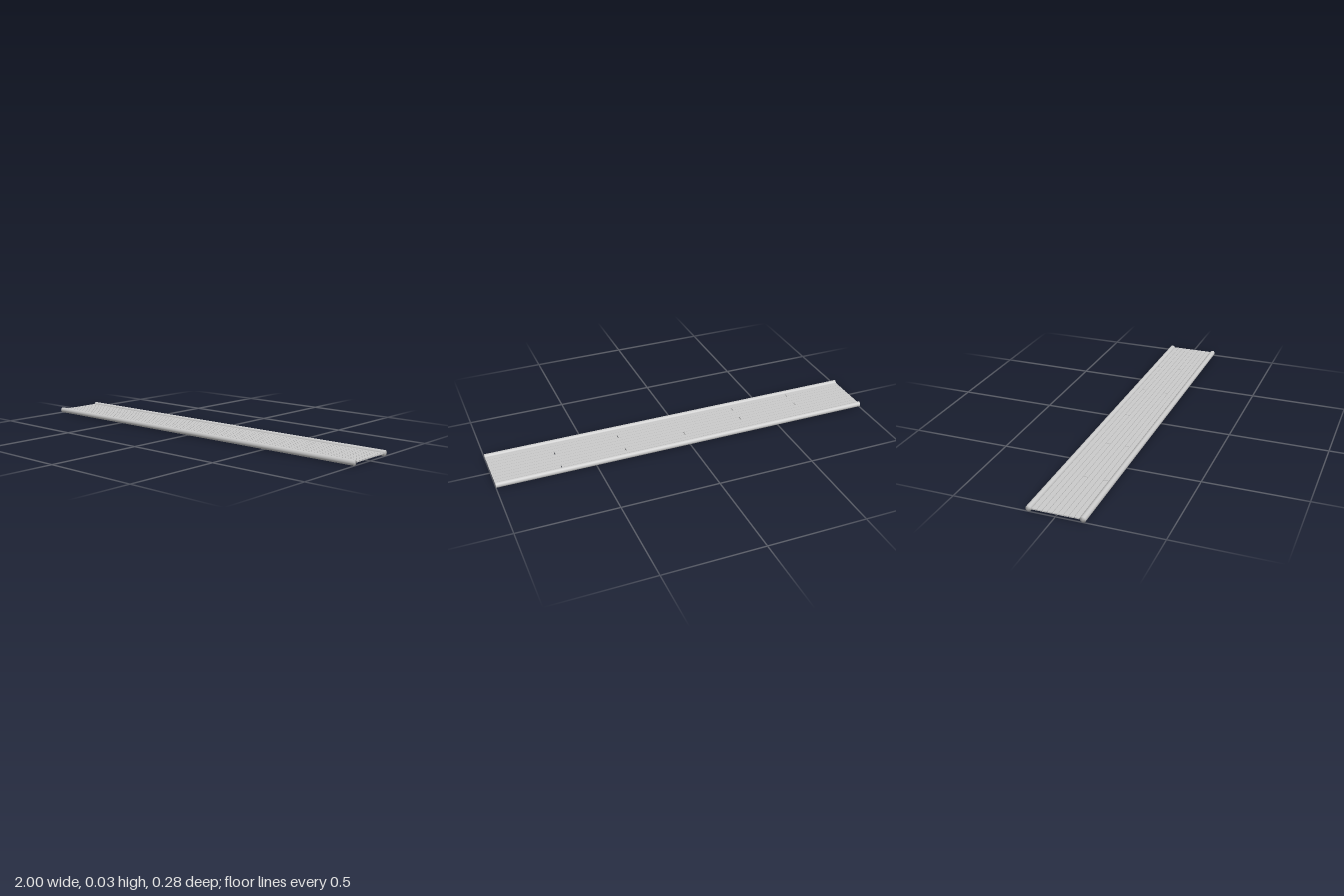
import * as THREE from 'three';
import { mergeVertices } from 'three/addons/utils/BufferGeometryUtils.js';

const material = new THREE.MeshStandardMaterial({ color: 0xcccccc });

export function createModel() {
  const group = new THREE.Group();
  group.name = 'boardwalk';

  function add(name, geometry, x, y, z) {
    const mesh = new THREE.Mesh(geometry, material);
    mesh.name = name;
    mesh.position.set(x, y, z);
    group.add(mesh);
  }

  // Round side logs, with shading that rolls softly over the end faces
  const radius = 0.014;
  let log = new THREE.CylinderGeometry(radius, radius, 2, 32).rotateZ(Math.PI / 2);
  log.deleteAttribute('normal');
  log.deleteAttribute('uv');
  log = mergeVertices(log, 1e-5);
  log.computeVertexNormals();
  add('leftLog', log, 0, radius, 0.128);
  add('rightLog', log, 0, radius, -0.128);

  // Cross beams under the deck, running into the logs
  const beam = new THREE.BoxGeometry(0.025, 0.0055, 0.232);
  for (const x of [-0.945, -0.5, 0, 0.5, 0.945]) add('crossBeam', beam, x, 0.0092, 0);

  // Nine rows of planks, each split in two at a staggered joint
  const joints = [0.67, 0.33, 0, -0.33, -0.67, 0.67, 0.33, -0.33, -0.67];
  const pitch = 0.025, width = 0.0228, height = 0.006, gap = 0.004;
  joints.forEach((joint, i) => {
    const z = (i - 4) * pitch;
    for (const [start, end] of [[-1, joint - gap / 2], [joint + gap / 2, 1]]) {
      const plank = new THREE.BoxGeometry(end - start, height, width);
      add('plank', plank, (start + end) / 2, 0.015, z);
    }
  });

  return group;
}
